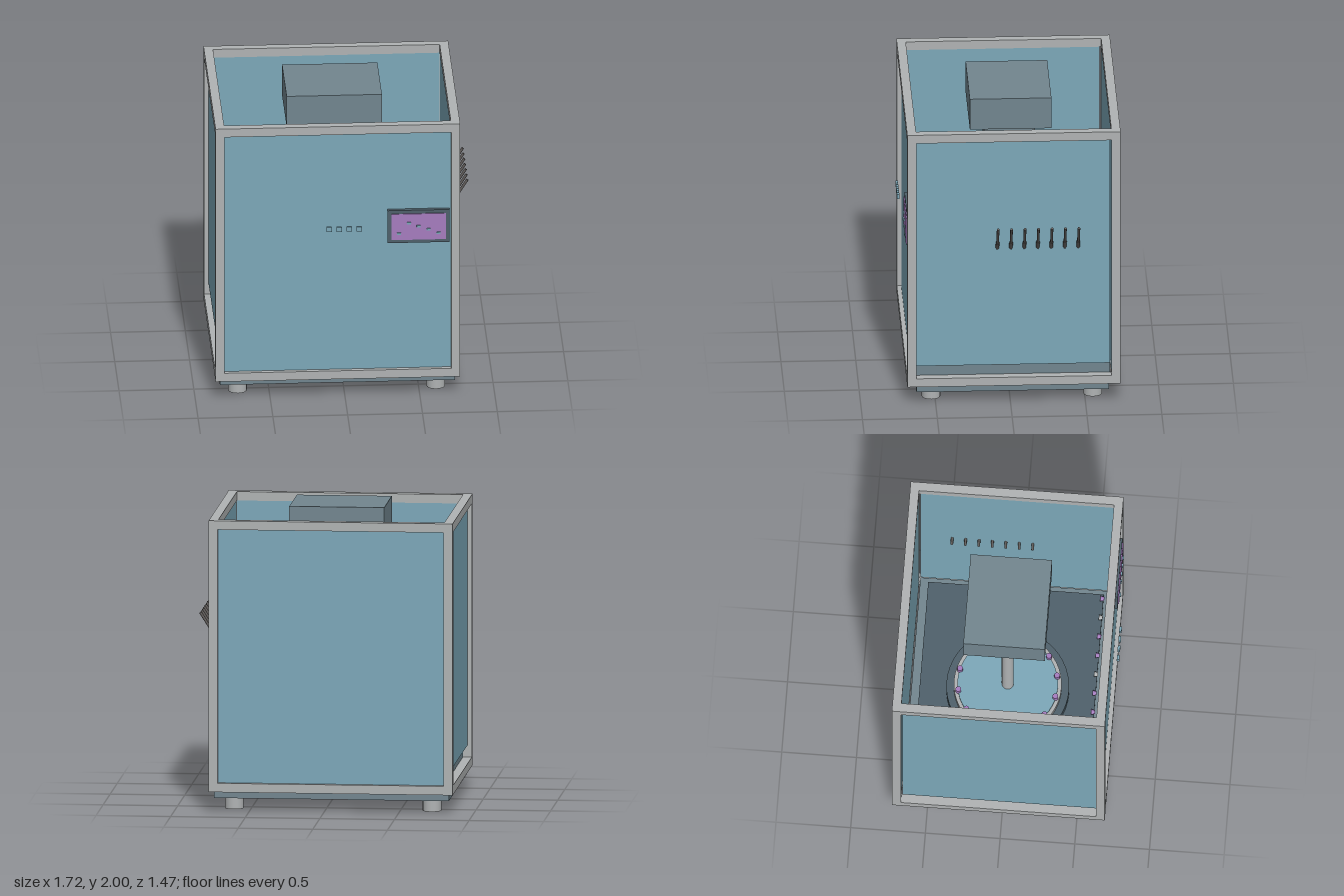
import * as THREE from 'three';

const paint = (name, color) => {
  const m = new THREE.MeshStandardMaterial({ color });
  m.name = name;
  return m;
};

export function createModel() {
  const grey = paint('frame grey', 0xb0b3b4);
  const blue = paint('panel blue', 0x7ca8b9);
  const slate = paint('slate', 0x72868f);
  const dark = paint('dark slate', 0x4e606a);
  const purple = paint('purple', 0xa57cbf);
  const rodGrey = paint('rod grey', 0x5c5856);

  const model = new THREE.Group();
  model.name = 'sampleCabinet';

  const add = (name, geometry, material, x, y, z) => {
    const mesh = new THREE.Mesh(geometry, material);
    mesh.name = name;
    mesh.position.set(x, y, z);
    model.add(mesh);
    return mesh;
  };
  // Box given by its extents
  const box = (name, material, x0, x1, y0, y1, z0, z1) =>
    add(name, new THREE.BoxGeometry(x1 - x0, y1 - y0, z1 - z0), material,
      (x0 + x1) / 2, (y0 + y1) / 2, (z0 + z1) / 2);
  // Upright cylinder given by its bottom and top
  const disc = (name, material, r, y0, y1, x, z, sides = 48) =>
    add(name, new THREE.CylinderGeometry(r, r, y1 - y0, sides), material, x, (y0 + y1) / 2, z);

  // Open frame of twelve beams
  const X0 = -0.865, X1 = 0.77, Y0 = 0.13, Y1 = 1.96, Z0 = -0.735, Z1 = 0.69, T = 0.06;
  const cx = (X0 + X1) / 2, cz = (Z0 + Z1) / 2;
  for (const x of [X0, X1 - T])
    for (const z of [Z0, Z1 - T]) box('framePost', grey, x, x + T, Y0, Y1, z, z + T);
  for (const y of [Y0, Y1 - T]) {
    for (const z of [Z0, Z1 - T]) box('frameCrossBeam', grey, X0 + T, X1 - T, y, y + T, z, z + T);
    for (const x of [X0, X1 - T]) box('frameSideBeam', grey, x, x + T, y, y + T, Z0 + T, Z1 - T);
  }

  // Wall panels, set back inside the frame
  box('frontPanel', blue, X0 + T, X1 - T, 0.19, 1.9, 0.632, 0.66);
  box('backPanel', blue, X0 + T, X1 - T, 0.19, 1.9, -0.705, -0.677);
  box('leftPanel', blue, 0.712, 0.74, 0.27, 1.9, -0.665, 0.63);
  box('rightPanel', blue, -0.835, -0.807, 0.27, 1.9, -0.665, 0.63);

  // Base, floor and feet
  box('basePlate', slate, -0.833, 0.74, 0.08, 0.13, -0.66, 0.628);
  box('floorSlab', slate, -0.804, 0.709, 0.13, 0.27, -0.665, 0.625);
  box('floorTray', dark, -0.762, 0.672, 0.27, 0.3, -0.61, 0.565);
  for (const x of [-0.71, 0.615])
    for (const z of [-0.555, 0.525]) disc('foot', grey, 0.063, 0, 0.08, x, z, 16);

  // Carousel with a ring of sample tubes
  disc('carouselBase', dark, 0.41, 0.3, 0.36, cx, cz);
  disc('carouselRing', grey, 0.36, 0.36, 0.4, cx, cz);
  disc('carouselPlate', blue, 0.336, 0.4, 0.41, cx, cz);
  for (let i = 0; i < 14; i++) {
    const a = (i / 14) * Math.PI * 2;
    disc('carouselTube', purple, 0.019, 0.4, 0.44, cx + 0.333 * Math.cos(a), cz + 0.333 * Math.sin(a), 12);
  }

  // Drive unit hanging over the carousel
  box('driveHousing', slate, -0.365, 0.272, 1.78, 2, -0.295, 0.25);
  box('driveNeck', slate, cx - 0.17, cx + 0.17, 1.6, 1.78, cz - 0.17, cz + 0.17);
  disc('driveShaft', grey, 0.04, 0.41, 1.6, cx, cz, 20);

  // Row of tapered caps along the front of the tray
  for (let i = 0; i < 11; i++) {
    const cap = add('trayCap', new THREE.CylinderGeometry(0.013, 0.02, 0.026, 8),
      i % 3 === 0 ? grey : purple, -0.71 + i * 0.1345, 0.32, 0.558);
    cap.rotation.x = Math.PI / 2;
  }

  // Front buttons
  for (let i = 0; i < 4; i++) {
    const x = -0.108 + i * 0.067;
    box('button', blue, x - 0.017, x + 0.017, 1.214, 1.246, 0.713, 0.73);
  }

  // Control display with small keys
  box('displayBezel', dark, 0.285, 0.7, 1.106, 1.341, 0.66, 0.688);
  box('displayScreen', purple, 0.31, 0.676, 1.13, 1.317, 0.688, 0.695);
  [[0.36, 1.177], [0.426, 1.253], [0.492, 1.23], [0.557, 1.204], [0.624, 1.177]].forEach(([x, y]) =>
    box('displayKey', blue, x - 0.013, x + 0.013, y - 0.007, y + 0.007, 0.695, 0.704));

  // Slanted rods through the side wall
  const low = new THREE.Vector3(0.685, 1.035, 0), high = new THREE.Vector3(0.852, 1.3, 0);
  const along = high.clone().sub(low);
  for (let i = 0; i < 7; i++) {
    const rod = add('sideRod', new THREE.CylinderGeometry(0.009, 0.009, along.length(), 12), rodGrey,
      (low.x + high.x) / 2, (low.y + high.y) / 2, 0.087 - i * 0.09);
    rod.quaternion.setFromUnitVectors(new THREE.Vector3(0, 1, 0), along.clone().normalize());
    const sleeve = add('rodSleeve', new THREE.CylinderGeometry(0.012, 0.012, 0.06, 12), rodGrey,
      0.755, 1.146, 0.087 - i * 0.09);
    sleeve.quaternion.copy(rod.quaternion);
  }

  return model;
}
